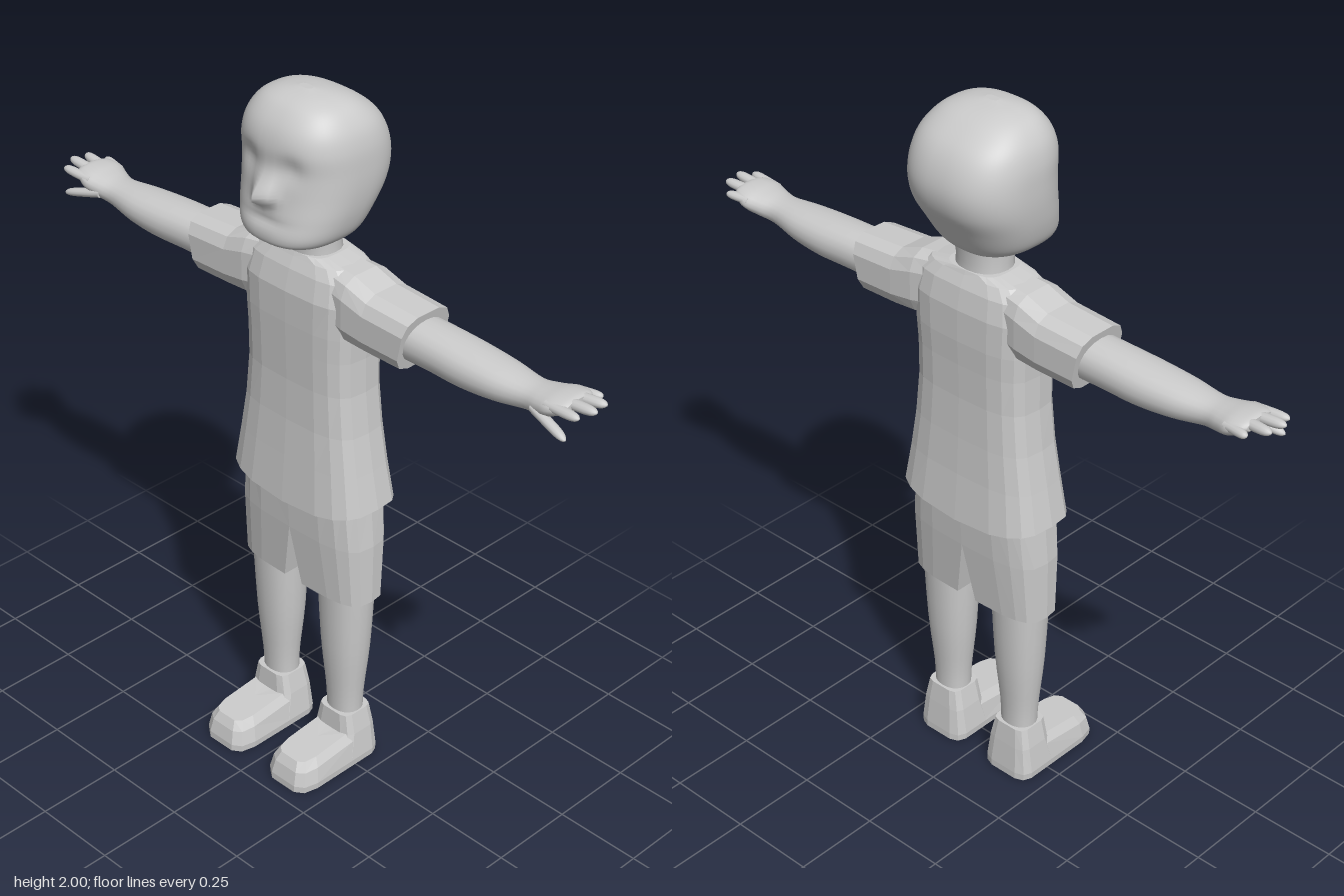
import * as THREE from 'three';

const grey = (flat) => new THREE.MeshStandardMaterial({ color: 0xcccccc, flatShading: flat });
const AXES = { x: [0, 1, 2], y: [1, 2, 0], z: [2, 0, 1] };

// Catmull-Rom subdivision of a list of sections
function smooth(rows, k) {
  const out = [];
  for (let i = 0; i < rows.length - 1; i++) {
    const p = [rows[Math.max(i - 1, 0)], rows[i], rows[i + 1], rows[Math.min(i + 2, rows.length - 1)]];
    for (let s = 0; s < k; s++) {
      const t = s / k;
      out.push(rows[i].map((_, j) => {
        const [a, b, c, d] = p.map((r) => r[j]);
        return b + 0.5 * t * (c - a + t * (2 * a - 5 * b + 4 * c - d + t * (3 * (b - c) + d - a)));
      }));
    }
  }
  out.push(rows[rows.length - 1]);
  return out;
}

// Rounded outline inside a unit square; a larger power is boxier
function outline(n, power, offset = 0) {
  const bend = (v) => Math.sign(v) * Math.abs(v) ** (2 / power);
  return Array.from({ length: n }, (_, i) => {
    const a = ((i + offset) / n) * Math.PI * 2;
    return [bend(Math.cos(a)), bend(Math.sin(a))];
  });
}

// Closed loft; a section is [position, a0, a1, b0, b1] where axis, a, b are in cyclic order
function loft(axis, rows, ring, warp) {
  const [T, A, B] = AXES[axis], n = ring.length, pos = [], idx = [];
  const add = (t, a, b) => {
    const p = new THREE.Vector3().setComponent(T, t).setComponent(A, a).setComponent(B, b);
    if (warp) warp(p);
    pos.push(p.x, p.y, p.z);
  };
  const addRing = ([t, a0, a1, b0, b1]) => ring.forEach(([u, v]) =>
    add(t, (a0 + a1) / 2 + (u * (a1 - a0)) / 2, (b0 + b1) / 2 + (v * (b1 - b0)) / 2));
  rows.forEach(addRing);
  for (let r = 0; r < rows.length - 1; r++) {
    for (let i = 0; i < n; i++) {
      const j = (i + 1) % n, p = r * n, q = p + n;
      idx.push(p + i, p + j, q + j, p + i, q + j, q + i);
    }
  }
  // end caps
  [rows[0], rows[rows.length - 1]].forEach((row, end) => {
    const s = pos.length / 3;
    addRing(row);
    add(row[0], (row[1] + row[2]) / 2, (row[3] + row[4]) / 2);
    for (let i = 0; i < n; i++) {
      const j = (i + 1) % n;
      idx.push(s + n, s + (end ? i : j), s + (end ? j : i));
    }
  });
  const g = new THREE.BufferGeometry();
  g.setAttribute('position', new THREE.Float32BufferAttribute(pos, 3));
  g.setIndex(idx);
  g.computeVertexNormals();
  return g;
}

function mirrored(geo) {
  const g = geo.clone(), p = g.attributes.position, ix = g.index.array;
  for (let i = 0; i < p.count; i++) p.setX(i, -p.getX(i));
  for (let i = 0; i < ix.length; i += 3) [ix[i], ix[i + 1]] = [ix[i + 1], ix[i]];
  g.computeVertexNormals();
  return g;
}

export function createModel() {
  const model = new THREE.Group();
  const add = (name, geo, flat = false) => {
    const m = new THREE.Mesh(geo, grey(flat));
    m.name = name;
    model.add(m);
  };
  const addPair = (name, geo, flat) => {
    add(name + 'Left', geo, flat);
    add(name + 'Right', mirrored(geo), flat);
  };
  const round = outline(20, 2.2);

  // Head: back z, front z, left and right per height, with nose and eye sockets
  const headRows = [
    [1.615, -0.1, 0.07, -0.085, 0.085], [1.625, -0.115, 0.135, -0.12, 0.12],
    [1.65, -0.135, 0.15, -0.145, 0.145], [1.7, -0.165, 0.142, -0.162, 0.162],
    [1.76, -0.2, 0.132, -0.172, 0.172], [1.82, -0.212, 0.128, -0.175, 0.175],
    [1.88, -0.2, 0.13, -0.172, 0.172], [1.93, -0.17, 0.116, -0.157, 0.157],
    [1.97, -0.118, 0.085, -0.125, 0.125], [1.99, -0.07, 0.05, -0.08, 0.08],
    [2.0, -0.018, 0.005, -0.02, 0.02],
  ];
  const gauss = (d, w) => Math.exp(-((d / w) ** 2));
  add('head', loft('y', smooth(headRows, 6), outline(64, 2.5), (p) => {
    if (p.z < 0.06) return;
    const nose = gauss(p.x, 0.03) * gauss(p.y - 1.755, p.y > 1.755 ? 0.05 : 0.022);
    const eye = gauss(Math.abs(p.x) - 0.07, 0.035) * gauss(p.y - 1.835, 0.035);
    const mouth = gauss(p.x, 0.06) * gauss(p.y - 1.69, 0.012);
    p.z += 0.05 * nose - 0.012 * eye - 0.006 * mouth;
  }));
  add('neck', loft('y', [
    [1.53, -0.105, 0.035, -0.08, 0.08], [1.58, -0.1, 0.035, -0.075, 0.075],
    [1.64, -0.11, 0.05, -0.08, 0.08],
  ], round));

  // Shirt body, with the hem dipping towards the middle
  add('shirt', loft('y', [
    [0.86, -0.155, 0.085, -0.24, 0.24], [0.97, -0.143, 0.075, -0.22, 0.22],
    [1.08, -0.137, 0.068, -0.202, 0.202], [1.2, -0.133, 0.065, -0.19, 0.19],
    [1.3, -0.135, 0.068, -0.189, 0.189], [1.37, -0.138, 0.07, -0.193, 0.193],
    [1.46, -0.137, 0.07, -0.197, 0.197], [1.52, -0.125, 0.055, -0.185, 0.185],
    [1.55, -0.11, 0.04, -0.15, 0.15], [1.562, -0.105, 0.035, -0.085, 0.085],
  ], outline(20, 3.4), (p) => {
    if (p.y < 0.9) p.y -= 0.03 * (1 - (p.x / 0.24) ** 2);
  }), true);

  // Sleeves, cut at a slant
  addPair('sleeve', loft('x', [
    [0.12, 1.37, 1.556, -0.115, 0.045], [0.18, 1.36, 1.55, -0.125, 0.053],
    [0.25, 1.358, 1.525, -0.127, 0.052], [0.38, 1.356, 1.516, -0.125, 0.05],
  ], outline(12, 3.2, 0.5), (p) => {
    if (p.x > 0.3) p.x += (p.y - 1.44) * 0.2;
  }), true);

  // Arms running into flattened palms
  addPair('arm', loft('x', smooth([
    [0.33, 1.375, 1.495, -0.105, 0.033], [0.45, 1.377, 1.492, -0.108, 0.035],
    [0.55, 1.376, 1.487, -0.108, 0.037], [0.65, 1.385, 1.48, -0.1, 0.032],
    [0.74, 1.4, 1.473, -0.084, 0.018], [0.79, 1.41, 1.477, -0.095, 0.025],
    [0.83, 1.422, 1.483, -0.108, 0.032], [0.865, 1.44, 1.484, -0.1, 0.022],
    [0.88, 1.452, 1.48, -0.085, 0.01],
  ], 4), round));

  // Fingers and thumb: start, end and radius
  const digits = [
    [[0.82, 1.458, -0.09], [0.895, 1.462, -0.104], 0.014],
    [[0.83, 1.465, -0.057], [0.937, 1.472, -0.068], 0.016],
    [[0.83, 1.465, -0.022], [0.945, 1.474, -0.022], 0.016],
    [[0.82, 1.46, 0.012], [0.925, 1.466, 0.018], 0.015],
    [[0.78, 1.435, 0.012], [0.903, 1.406, 0.036], 0.015],
  ];
  digits.forEach(([a, b, r], i) => {
    const rows = [[0, 1], [0.4, 1], [0.75, 0.95], [0.93, 0.65], [1, 0.15]].map(([t, s]) => {
      const [x, y, z] = a.map((v, k) => v + (b[k] - v) * t);
      return [x, y - r * s * 0.85, y + r * s * 0.85, z - r * s, z + r * s];
    });
    addPair(i < 4 ? 'finger' + (i + 1) : 'thumb', loft('x', smooth(rows, 2), outline(12, 2)));
  });

  // Shorts: two legs with flat inner faces that meet above the crotch
  const half = Array.from({ length: 11 }, (_, i) => {
    const a = (i / 10) * Math.PI, c = Math.cos(a);
    return [Math.sign(c) * Math.abs(c) ** 0.6, Math.sin(a) ** 0.6 * 2 - 1];
  });
  addPair('shortsLeg', loft('y', [
    [0.555, -0.11, 0.043, 0.033, 0.225], [0.735, -0.127, 0.058, 0, 0.226],
    [0.9, -0.137, 0.066, 0, 0.212],
  ], half), true);

  // Lower legs
  addPair('leg', loft('y', smooth([
    [0.13, -0.078, 0.01, 0.075, 0.178], [0.22, -0.08, 0.014, 0.072, 0.182],
    [0.38, -0.095, 0.028, 0.056, 0.198], [0.6, -0.105, 0.038, 0.045, 0.21],
  ], 3), round));

  // Shoes: ankle cuff and a toe box that slopes to the front
  addPair('shoeAnkle', loft('y', [
    [0, -0.1, 0.05, 0.047, 0.205], [0.02, -0.1, 0.05, 0.045, 0.207],
    [0.1, -0.093, 0.024, 0.056, 0.197], [0.16, -0.086, 0.02, 0.07, 0.184],
  ], outline(12, 4.5, 0.5)), true);
  addPair('shoeToe', loft('y', [
    [0, -0.06, 0.21, 0.047, 0.205], [0.02, -0.06, 0.21, 0.045, 0.207],
    [0.065, -0.05, 0.2, 0.054, 0.199], [0.09, -0.04, 0.185, 0.07, 0.183],
  ], outline(12, 4.5, 0.5), (p) => {
    if (p.y > 0.05) p.y += 0.015 - 0.1 * Math.max(p.z, 0);
  }), true);

  return model;
}
